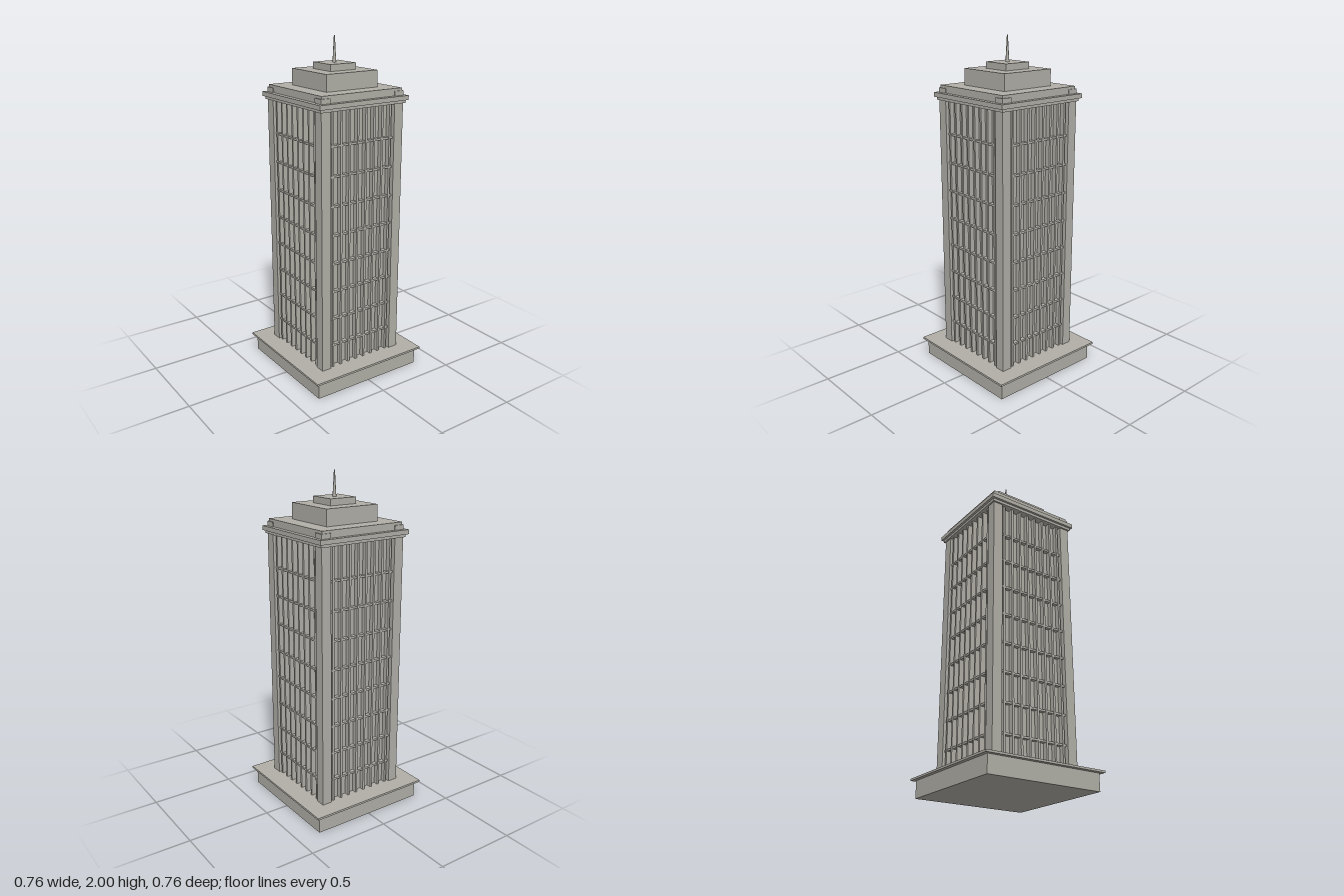
import * as THREE from 'three';

export function createModel() {
  const tower = new THREE.Group();
  tower.name = 'tower';
  const stone = new THREE.MeshStandardMaterial({ color: 0xb0aea6 });
  stone.name = 'warm grey stone';

  // Box spanning heights y0..y1, centred on x and z
  function block(parent, name, width, depth, y0, y1, x = 0, z = 0) {
    const mesh = new THREE.Mesh(new THREE.BoxGeometry(width, y1 - y0, depth), stone);
    mesh.name = name;
    mesh.position.set(x, (y0 + y1) / 2, z);
    parent.add(mesh);
  }

  // Stacked square tiers: name, width, bottom, top
  const tiers = [
    ['plinth', 0.716, 0, 0.1],
    ['plinthSlab', 0.762, 0.1, 0.112],
    ['core', 0.48, 0.112, 1.64],
    ['lowerCornice', 0.572, 1.635, 1.652],
    ['cornice', 0.598, 1.652, 1.678],
    ['parapet', 0.542, 1.678, 1.72],
    ['penthouse', 0.346, 1.72, 1.815],
    ['antennaBase', 0.172, 1.815, 1.853],
  ];
  for (const [name, width, y0, y1] of tiers) block(tower, name, width, width, y0, y1);

  // Corner piers rise past the cornice
  for (const sx of [-1, 1]) {
    for (const sz of [-1, 1]) {
      block(tower, 'cornerPier', 0.06, 0.06, 0.112, 1.705, sx * 0.247, sz * 0.247);
    }
  }

  // Each side has eight vertical fins and eight floor bands
  for (let side = 0; side < 4; side++) {
    const facade = new THREE.Group();
    facade.name = 'facade';
    facade.rotation.y = side * Math.PI / 2;
    for (let i = 0; i < 8; i++) {
      block(facade, 'fin', 0.013, 0.034, 0.112, 1.64, (i - 3.5) * 0.0557, 0.251);
      const y = 0.25 + i * 0.1703;
      block(facade, 'floorBand', 0.436, 0.028, y - 0.006, y + 0.006, 0, 0.25);
    }
    tower.add(facade);
  }

  // Tapered antenna
  const antenna = new THREE.Mesh(new THREE.CylinderGeometry(0.003, 0.011, 0.147, 8), stone);
  antenna.name = 'antenna';
  antenna.position.y = 1.9265;
  tower.add(antenna);

  return tower;
}
